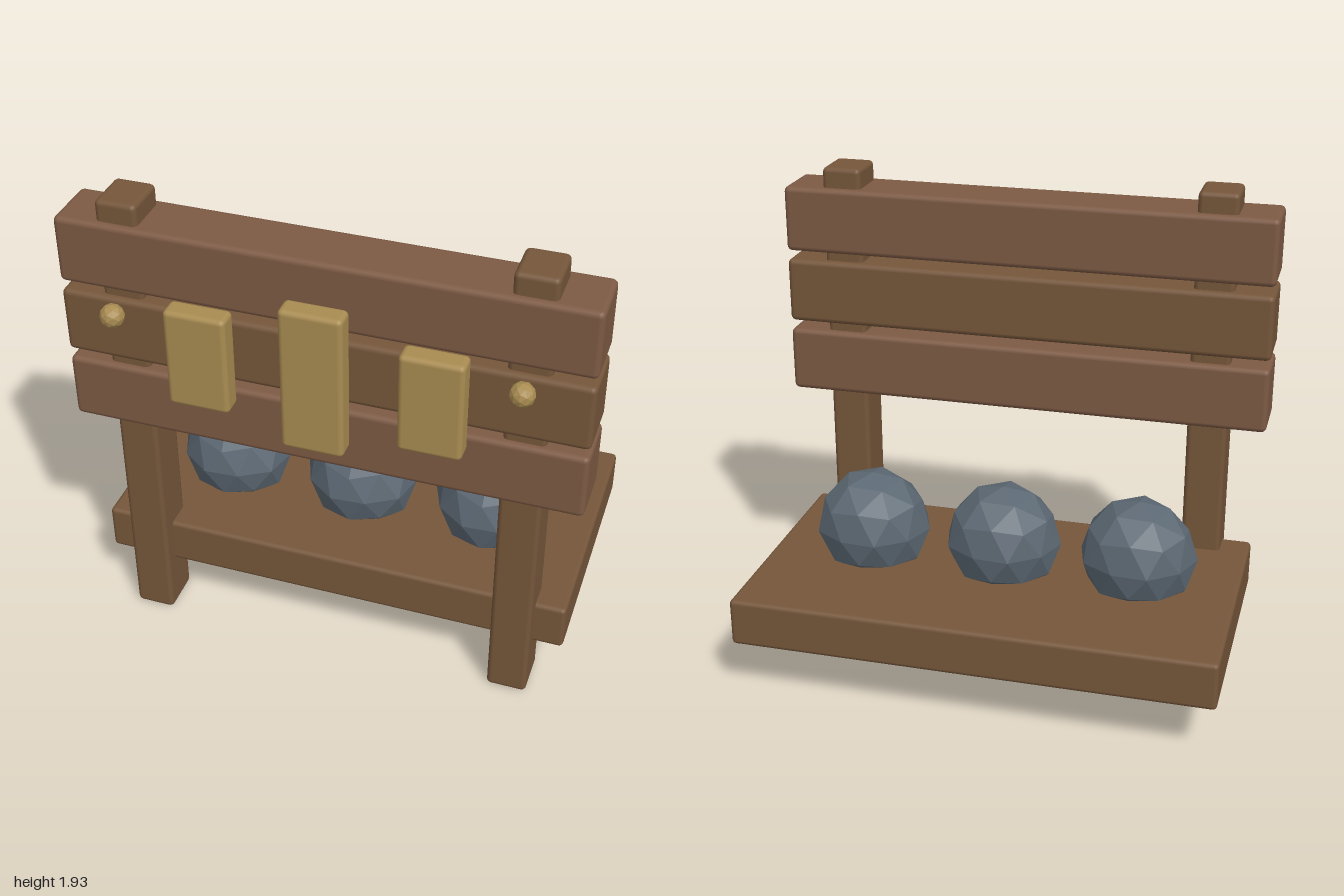
import * as THREE from 'three';
import { RoundedBoxGeometry } from 'three/addons/geometries/RoundedBoxGeometry.js';

const material = (color, flatShading = false) => new THREE.MeshStandardMaterial({ color, flatShading });
const wood = material(0x75563a);
const redWood = material(0x7d5a44);
const brass = material(0xa98c52);
const brassFacet = material(0xa98c52, true);
const stone = material(0x5c6873, true);

// Bevelled box given by its minimum and maximum corners
function beam(name, min, max, bevel, mat) {
  const size = max.map((v, i) => v - min[i]);
  const mesh = new THREE.Mesh(new RoundedBoxGeometry(...size, 2, bevel), mat);
  mesh.position.set(...max.map((v, i) => (v + min[i]) / 2));
  mesh.name = name;
  return mesh;
}

// Faceted boulder: icosphere with a vertex on top, pushed in and out by a smooth rule
function boulderGeometry() {
  const geometry = new THREE.IcosahedronGeometry(1, 1);
  geometry.rotateX(-Math.atan((1 + Math.sqrt(5)) / 2));
  const pos = geometry.attributes.position;
  const p = new THREE.Vector3();
  for (let i = 0; i < pos.count; i++) {
    p.fromBufferAttribute(pos, i);
    const bump = 1 + 0.045 * Math.sin(5 * p.x + 2 * p.y + 1) * Math.cos(4 * p.z - 3 * p.y);
    p.multiplyScalar(bump);
    pos.setXYZ(i, p.x * 0.232, p.y * 0.228, p.z * 0.228);
  }
  geometry.computeVertexNormals();
  return geometry;
}

export function createModel() {
  const model = new THREE.Group();
  model.name = 'signStand';

  // Shelf behind the posts
  model.add(beam('shelf', [-0.96, 0.225, -0.617], [0.96, 0.42, 0.41], 0.018, wood));

  // Horizontal sign planks
  [[0.975, 1.243, redWood], [1.278, 1.545, wood], [1.58, 1.85, redWood]].forEach(([low, high, mat], i) =>
    model.add(beam(`plank${i + 1}`, [-1, low, 0.26], [1, high, 0.5], 0.022, mat)));

  // Posts and round pegs, mirrored
  const pegGeometry = new THREE.IcosahedronGeometry(0.047, 1);
  for (const [side, s] of [['left', 1], ['right', -1]]) {
    const x = s * 0.76;
    model.add(beam(`${side}Post`, [x - 0.08, 0, 0.287], [x + 0.08, 1.932, 0.474], 0.02, wood));
    const peg = new THREE.Mesh(pegGeometry, brassFacet);
    peg.name = `${side}Peg`;
    peg.position.set(x, 1.522, 0.57);
    model.add(peg);
  }

  // Upright plates on the sign face
  [[-0.44, 1.18, 1.588], [0, 1.085, 1.683], [0.44, 1.18, 1.588]].forEach(([x, low, high], i) =>
    model.add(beam(`plate${i + 1}`, [x - 0.12, low, 0.488], [x + 0.12, high, 0.58], 0.02, brass)));

  // Boulders sunk slightly into the shelf
  const boulder = boulderGeometry();
  [-0.553, 0, 0.553].forEach((x, i) => {
    const mesh = new THREE.Mesh(boulder, stone);
    mesh.name = `boulder${i + 1}`;
    mesh.position.set(x, 0.535, -0.035);
    model.add(mesh);
  });

  return model;
}
